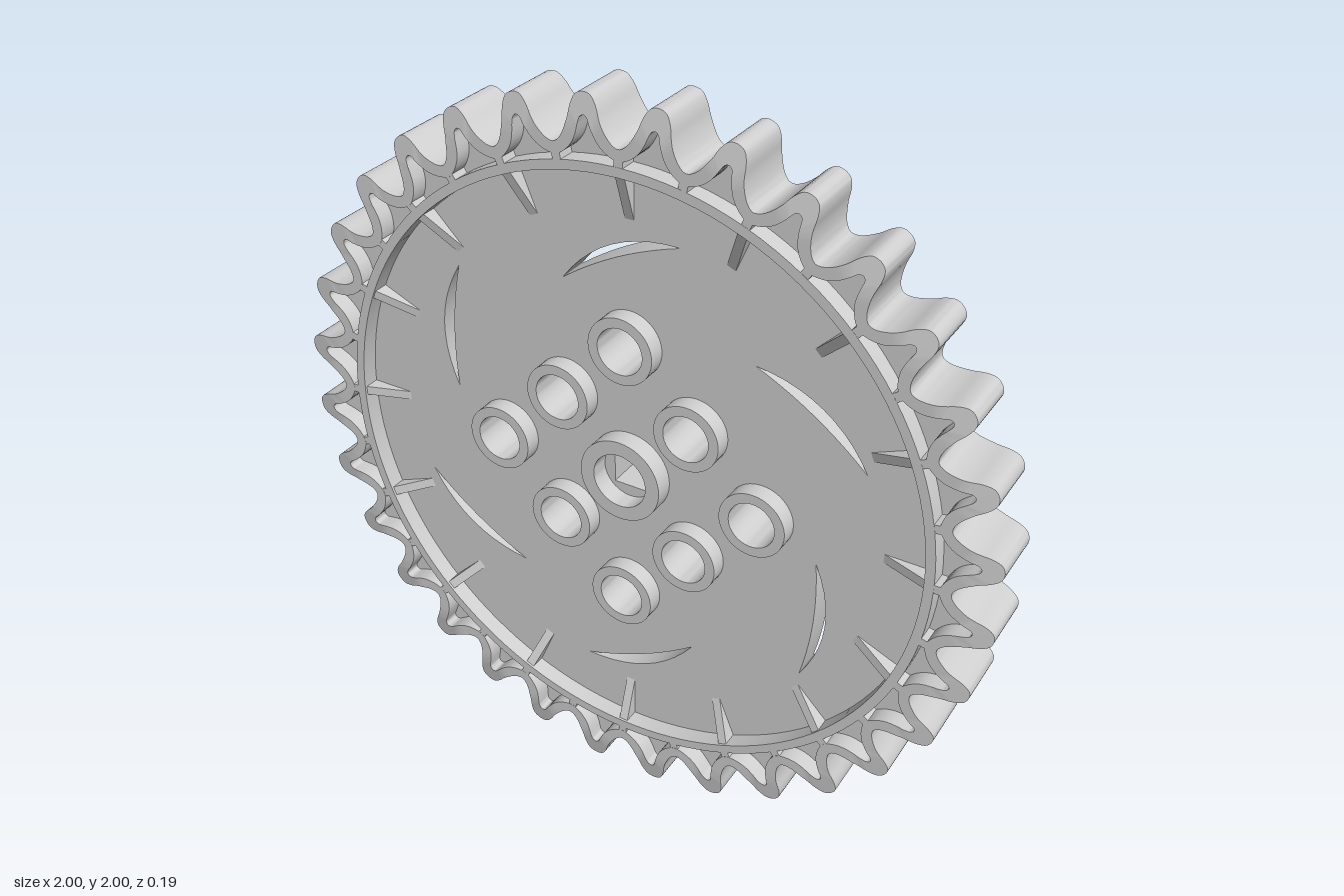
import * as THREE from 'three';
import { toCreasedNormals } from 'three/addons/utils/BufferGeometryUtils.js';

const TEETH = 32;
const HALF_DEPTH = 0.09;
const DISC_HALF = 0.042;

export function createModel() {
  const group = new THREE.Group();
  const wheel = new THREE.Group();
  wheel.position.y = 1;
  group.add(wheel);

  const grey = new THREE.MeshStandardMaterial({ color: 0xd0d0d0 });
  grey.name = 'light grey';

  const add = (name, geometry) => {
    const mesh = new THREE.Mesh(geometry, grey);
    mesh.name = name;
    wheel.add(mesh);
    return mesh;
  };

  // Turn a point clockwise about the axle
  const turn = (x, y, a) => new THREE.Vector2(
    x * Math.cos(a) + y * Math.sin(a), y * Math.cos(a) - x * Math.sin(a));
  const circle = (r, x = 0, y = 0, n = 48) => Array.from({ length: n }, (_, i) => {
    const a = (i / n) * Math.PI * 2;
    return new THREE.Vector2(x + r * Math.cos(a), y + r * Math.sin(a));
  });
  const smooth = (g) => toCreasedNormals(g, 0.6);
  // Plate centred on z = 0, with holes; the outline runs anticlockwise
  const plate = (outline, holes, halfDepth) => {
    const shape = new THREE.Shape(outline);
    holes.forEach((h) => shape.holes.push(new THREE.Path(h)));
    const g = new THREE.ExtrudeGeometry(shape, { depth: halfDepth * 2, bevelEnabled: false });
    return smooth(g.translate(0, 0, -halfDepth));
  };

  // Closed wavy curve: half a tooth from tip to flank, mirrored and repeated
  const wave = (valley, half) => {
    const control = [];
    const tooth = [...half.slice(1).reverse().map(([x, y]) => [-x, y]), ...half];
    for (let i = 0; i < TEETH; i++) {
      control.push(turn(0, valley, (i / TEETH) * Math.PI * 2));
      tooth.forEach(([x, y]) => control.push(turn(x, y, ((i + 0.5) / TEETH) * Math.PI * 2)));
    }
    const curve = new THREE.CatmullRomCurve3(
      control.map((p) => new THREE.Vector3(p.x, p.y, 0)), true, 'centripetal');
    const n = control.length * 3;
    return Array.from({ length: n }, (_, i) => curve.getPoint(i / n));
  };
  const outer = wave(0.888, [[0, 1.004], [0.02, 0.998], [0.034, 0.975], [0.043, 0.943],
    [0.057, 0.912], [0.072, 0.892]]);
  const inner = wave(0.858, [[0, 0.953], [0.009, 0.948], [0.014, 0.936], [0.02, 0.918],
    [0.033, 0.891], [0.055, 0.868]]);

  // Toothed wall swept around the wheel, thinning towards the tips
  const positions = [];
  const index = [];
  const corner = (p, side) => {
    const z = HALF_DEPTH - Math.max(0, Math.hypot(p.x, p.y) - 0.93) * 0.17;
    positions.push(p.x, p.y, side * z);
  };
  outer.forEach((p, i) => {
    corner(p, 1);
    corner(inner[i], 1);
    corner(inner[i], -1);
    corner(p, -1);
    const next = (i + 1) % outer.length;
    for (let k = 0; k < 4; k++) {
      const a = i * 4 + k;
      const b = i * 4 + ((k + 1) % 4);
      const c = next * 4 + ((k + 1) % 4);
      const d = next * 4 + k;
      index.push(a, b, c, a, c, d);
    }
  });
  const wall = new THREE.BufferGeometry();
  wall.setAttribute('position', new THREE.Float32BufferAttribute(positions, 3));
  wall.setIndex(index);
  add('toothedWall', smooth(wall));

  // Inner rim ring and the short struts joining it to the tooth valleys
  add('rimRing', plate(circle(0.845, 0, 0, 128), [circle(0.82, 0, 0, 128)], HALF_DEPTH));
  const strut = new THREE.BoxGeometry(0.023, 0.03, HALF_DEPTH * 2 - 0.001);
  for (let i = 0; i < TEETH; i++) {
    const a = (i / TEETH) * Math.PI * 2;
    const mesh = add('strut', strut);
    mesh.position.set(0.855 * Math.sin(a), 0.855 * Math.cos(a), 0);
    mesh.rotation.z = -a;
  }

  // Web disc with crescent slots, round holes and a square axle hole
  const slot = [];
  const arc = (t, rise) => {
    const along = t * 0.181;
    const up = rise * (1 - t * t);
    slot.push([-0.027 + along * 0.897 - up * 0.442, 0.581 + along * 0.442 + up * 0.897]);
  };
  for (let i = 0; i <= 10; i++) arc(i / 5 - 1, 0.048);
  for (let i = 9; i > 0; i--) arc(i / 5 - 1, 0.016);
  const holes = [];
  for (let i = 0; i < 6; i++) {
    holes.push(slot.map(([x, y]) => turn(x, y, (i * Math.PI) / 3)));
  }
  const bossCentres = [];
  for (let i = 0; i < 8; i++) {
    const r = i % 2 ? 0.262 : 0.372;
    bossCentres.push(turn(0, r, (i * Math.PI) / 4));
  }
  bossCentres.forEach((c) => holes.push(circle(0.075, c.x, c.y)));
  const s = 0.045;
  holes.push([[-s, -s], [s, -s], [s, s], [-s, s]].map(([x, y]) => new THREE.Vector2(x, y)));
  const discEdge = outer.map((p) => new THREE.Vector2(p.x, p.y).multiplyScalar(0.985)).reverse();
  add('webDisc', plate(discEdge, holes, DISC_HALF));

  // Round bosses and centre hub
  const bossGeometry = plate(circle(0.09), [circle(0.063)], HALF_DEPTH);
  bossCentres.forEach((c) => add('boss', bossGeometry).position.set(c.x, c.y, 0));
  add('hub', plate(circle(0.115), [circle(0.076)], 0.095));

  // Tapered gussets bracing the rim against the disc
  const gusset = plate([[0.7, -DISC_HALF], [0.825, -0.085], [0.825, 0.085], [0.7, DISC_HALF]]
    .map(([x, y]) => new THREE.Vector2(x, y)), [], 0.0125);
  gusset.rotateX(Math.PI / 2);
  for (let i = 0; i < 16; i++) add('gusset', gusset).rotation.z = (i * Math.PI) / 8;

  return group;
}
